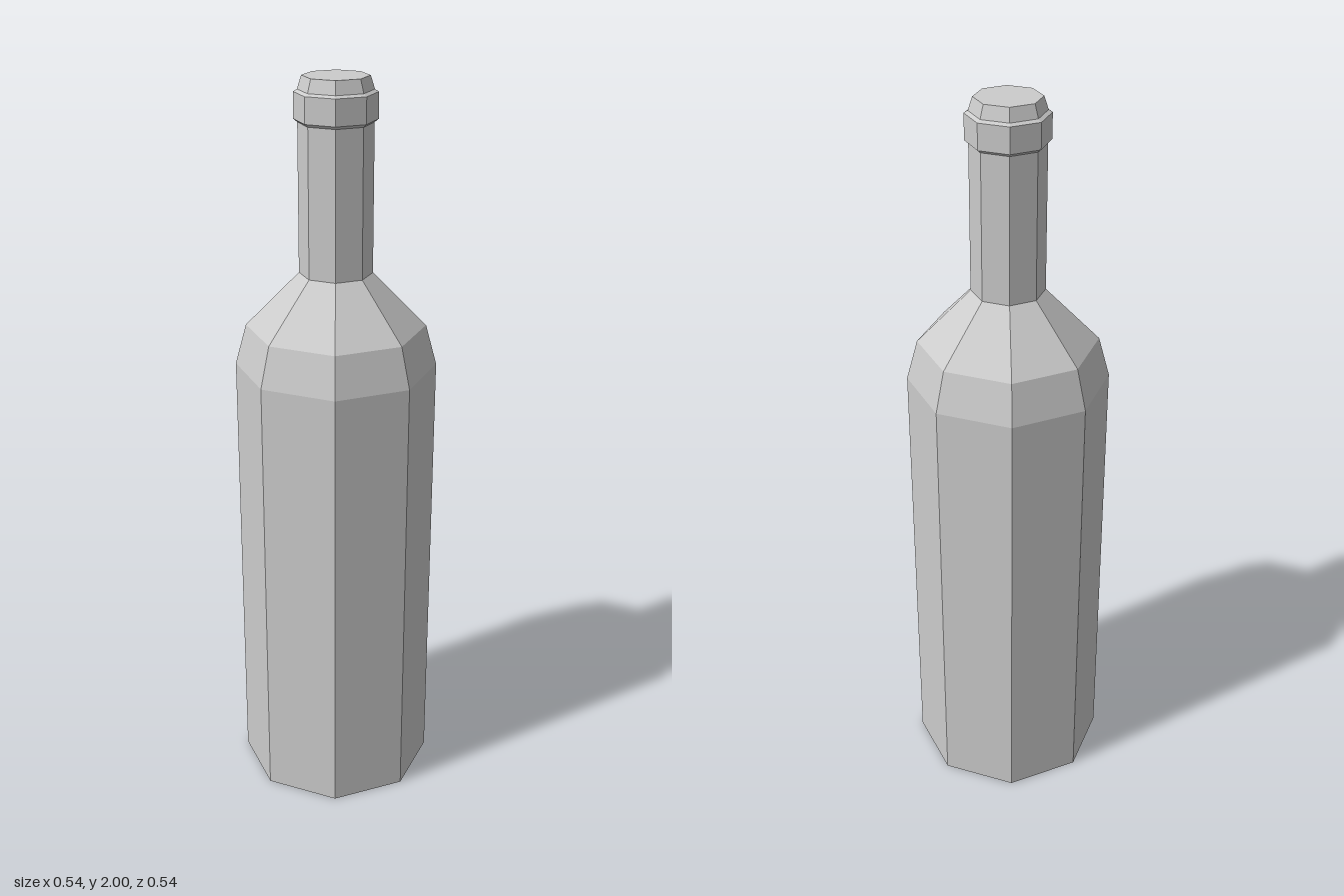
import * as THREE from 'three';

const SIDES = 8;

export function createModel() {
  const model = new THREE.Group();
  model.name = 'bottle';
  const material = new THREE.MeshStandardMaterial({ color: 0xcccccc, flatShading: true });

  // Spins a [radius, height] profile into an eight-sided part with corners on the axes
  const addTurned = (name, profile) => {
    const points = profile.map(([r, y]) => new THREE.Vector2(r, y));
    const mesh = new THREE.Mesh(new THREE.LatheGeometry(points, SIDES), material);
    mesh.name = name;
    model.add(mesh);
  };

  // Hollow dimple under the bottle and the rim it stands on
  addTurned('base', [[0, 0.13], [0.147, 0.13], [0.21, 0], [0.27, 0]]);
  // Straight wall
  addTurned('body', [[0.27, 0], [0.27, 1.24]]);
  // Two-step taper up to the neck
  addTurned('shoulder', [[0.27, 1.24], [0.24, 1.35], [0.097, 1.495]]);
  addTurned('neck', [[0.097, 1.495], [0.097, 1.885]]);
  // Collar around the mouth
  addTurned('collar', [[0.097, 1.885], [0.107, 1.893], [0.107, 1.96], [0.097, 1.966]]);
  // Bevelled, closed top
  addTurned('stopper', [[0.097, 1.966], [0.086, 2], [0, 2]]);

  return model;
}
